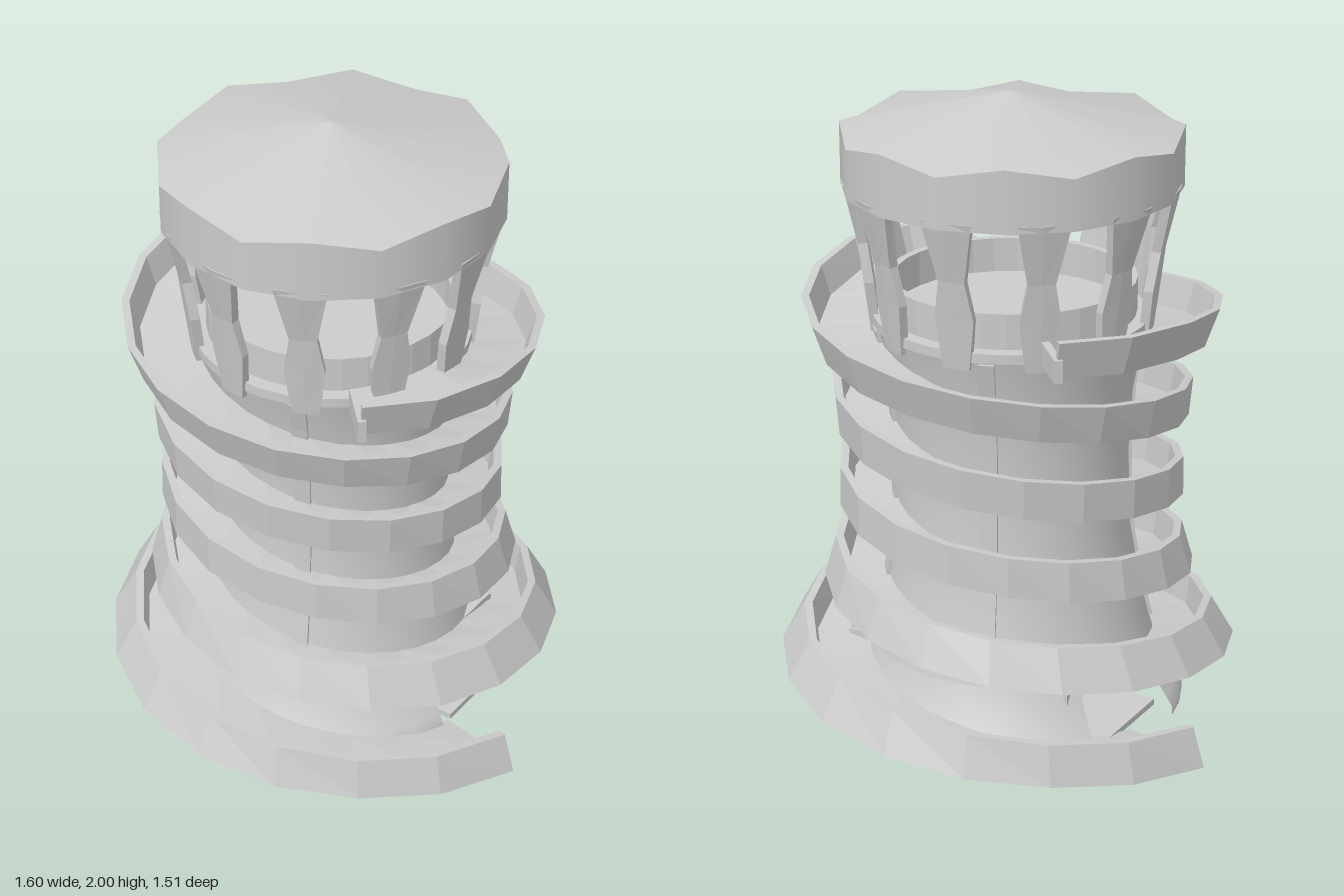
import * as THREE from 'three';

const AXIS = -0.02; // the tower axis sits slightly off centre
const smooth = new THREE.MeshStandardMaterial({ color: 0xcccccc, side: THREE.DoubleSide });
const flat = new THREE.MeshStandardMaterial({ color: 0xcccccc, flatShading: true, side: THREE.DoubleSide });
const rad = THREE.MathUtils.degToRad;

// Profiles as [radius, height]
const TOWER = [[0.55, 0.02], [0.55, 0.05], [0.53, 0.08], [0.48, 0.16], [0.45, 0.24], [0.41, 0.4], [0.375, 0.6],
  [0.365, 0.85], [0.375, 1.05], [0.4, 1.2], [0.43, 1.31]];
const RAMP = [[0.805, 0], [0.765, 0.06], [0.76, 0.13], [0.72, 0.21], [0.66, 0.31], [0.595, 0.43], [0.545, 0.6], [0.54, 0.85],
  [0.56, 1.1], [0.62, 1.28], [0.67, 1.42]];

function radiusAt(profile, y) {
  if (y <= profile[0][1]) return profile[0][0];
  for (let i = 1; i < profile.length; i++) {
    const [r0, y0] = profile[i - 1], [r1, y1] = profile[i];
    if (y <= y1) return r0 + (r1 - r0) * (y - y0) / (y1 - y0);
  }
  return profile[profile.length - 1][0];
}

function add(parent, name, geometry, material) {
  const mesh = new THREE.Mesh(geometry, material);
  mesh.name = name;
  parent.add(mesh);
  return mesh;
}

function lathe(points, sides, startDeg = 0, sweepDeg = 360) {
  return new THREE.LatheGeometry(points.map(([r, y]) => new THREE.Vector2(r, y)), sides, rad(startDeg), rad(sweepDeg));
}

// Spiral gutter: an L-shaped section swept along the flared helix, drawn in at its top end
function rampGeometry(turnOffset) {
  const pos = [], idx = [], n = 6, first = -6, last = 930, steps = 48;
  for (let j = 0; j <= steps; j++) {
    const deg = first + (last - first) * j / steps;
    const y = THREE.MathUtils.clamp(0.01 + 0.258 * deg / 180, 0, 1.29);
    const a = rad(deg + turnOffset), cx = AXIS * Math.min(1, y / 0.8);
    const pull = Math.max(0, deg - 900) * 0.0015;
    const inner = radiusAt(TOWER, y) - 0.035, outer = radiusAt(RAMP, y) - pull, rim = radiusAt(RAMP, y + 0.125) - pull;
    const foot = Math.min(rim - 0.04, outer - 0.01);
    const section = [[inner, y], [outer, y], [rim, y + 0.125], [rim - 0.025, y + 0.125], [foot, y + 0.03], [inner, y + 0.03]];
    for (const [r, h] of section) pos.push(cx + r * Math.cos(a), h, r * Math.sin(a));
  }
  for (let j = 0; j < steps; j++) {
    for (let i = 0; i < n; i++) {
      const a = j * n + i, b = j * n + (i + 1) % n;
      idx.push(a, b, b + n, a, b + n, a + n);
    }
  }
  // End caps
  const e = steps * n;
  for (const [a, b, c] of [[0, 1, 4], [0, 4, 5], [1, 2, 3], [1, 3, 4]]) idx.push(a, c, b, e + a, e + b, e + c);
  const g = new THREE.BufferGeometry();
  g.setAttribute('position', new THREE.Float32BufferAttribute(pos, 3));
  g.setIndex(idx);
  g.computeVertexNormals();
  return g;
}

// Pillar: a box narrowed at mid height and leaned outwards
function pillarGeometry() {
  const g = new THREE.BoxGeometry(1, 1, 0.03, 2, 3, 1), p = g.attributes.position;
  const levels = [[1.26, 0.04, 0.42], [1.42, 0.06, 0.44], [1.54, 0.04, 0.455], [1.73, 0.078, 0.5]];
  for (let i = 0; i < p.count; i++) {
    const [y, half, r] = levels[Math.round((p.getY(i) + 0.5) * 3)];
    const a = p.getX(i) * 2 * half / r, rr = r + p.getZ(i);
    p.setXYZ(i, rr * Math.sin(a), y, rr * Math.cos(a));
  }
  g.computeVertexNormals();
  return g;
}

// Rib: a thin strip that follows the waisted tower
function ribGeometry() {
  const g = new THREE.BoxGeometry(0.05, 1, 0.02, 1, 10, 1), p = g.attributes.position;
  for (let i = 0; i < p.count; i++) {
    const y = 0.26 + (p.getY(i) + 0.5) * 1.02;
    p.setXYZ(i, p.getX(i), y, radiusAt(TOWER, y) + p.getZ(i));
  }
  g.computeVertexNormals();
  return g;
}

// The cap's edge rises and falls from corner to corner
const SIDES = 16;
function edgeHeight(x, z) {
  return Math.round(Math.atan2(x, z) / (2 * Math.PI / SIDES)) % 2 ? 1.865 : 1.9;
}

function roofGeometry() {
  const g = new THREE.CylinderGeometry(0.02, 0.52, 0.12, SIDES, 1, true), p = g.attributes.position;
  for (let i = 0; i < p.count; i++) {
    const x = p.getX(i), z = p.getZ(i);
    if (Math.hypot(x, z) < 0.1) p.setXYZ(i, 0, 2, 0);
    else p.setY(i, edgeHeight(x, z));
  }
  return g;
}

function bandGeometry() {
  const g = new THREE.CylinderGeometry(0.52, 0.52, 0.19, SIDES, 1, true), p = g.attributes.position;
  for (let i = 0; i < p.count; i++) p.setY(i, p.getY(i) > 0 ? edgeHeight(p.getX(i), p.getZ(i)) : 1.71);
  return g;
}

export function createModel() {
  const model = new THREE.Group();
  model.name = 'spiralRampTower';
  const tower = new THREE.Group();
  tower.name = 'tower';
  tower.position.x = AXIS;
  model.add(tower);

  // Waisted shaft, with the foot left open where the tunnel passes through
  add(tower, 'shaft', lathe(TOWER.slice(4), 32), smooth);
  add(tower, 'footFront', lathe(TOWER.slice(0, 5), 16, -65, 157), smooth);
  add(tower, 'footBack', lathe(TOWER.slice(0, 5), 12, 135, 120), smooth);

  // Tunnel through the foot: floor, roof and two sides
  const tunnel = new THREE.Group();
  tunnel.name = 'tunnel';
  tunnel.position.z = -0.1;
  tunnel.rotation.y = rad(-17);
  tunnel.scale.z = -1;
  tunnel.rotation.y = rad(17);
  tunnel.scale.z = 1;
  tower.add(tunnel);
  add(tunnel, 'tunnelFloor', new THREE.BoxGeometry(1, 0.02, 0.38), flat).position.y = 0.04;
  add(tunnel, 'tunnelRoof', new THREE.BoxGeometry(0.8, 0.02, 0.38), flat).position.y = 0.24;
  for (const s of [-1, 1]) {
    add(tunnel, 'tunnelSide', new THREE.BoxGeometry(0.8, 0.2, 0.02), flat).position.set(0, 0.14, s * 0.19);
  }

  const ribs = ribGeometry();
  for (const deg of [38, -36, 150, 217]) add(tower, 'rib', ribs, flat).rotation.y = rad(deg);

  // Lookout floor, raised sill and pillars
  add(tower, 'lookoutFloor', new THREE.CylinderGeometry(0.43, 0.43, 0.03, 32), smooth).position.y = 1.3;
  add(tower, 'lookoutSill', lathe([[0.385, 1.3], [0.385, 1.425], [0.36, 1.425], [0.36, 1.3]], 32), flat);
  const pillar = pillarGeometry();
  for (let i = 0; i < 11; i++) add(tower, 'pillar', pillar, flat).rotation.y = rad(9) + i * 2 * Math.PI / 11;

  // Cap
  add(tower, 'capBand', bandGeometry(), smooth);
  add(tower, 'capBandInside', lathe([[0.52, 1.71], [0.485, 1.71], [0.485, 1.86], [0, 1.93]], SIDES), flat);
  add(tower, 'roof', roofGeometry(), smooth);

  // Two intertwined ramps, each closed off at its top by a low end wall
  for (const offset of [0, 180]) {
    add(model, 'spiralRamp', rampGeometry(offset), flat);
    const a = rad(930 + offset);
    const wall = add(model, 'rampEndWall', new THREE.BoxGeometry(0.17, 0.07, 0.025), flat);
    wall.position.set(AXIS + 0.53 * Math.cos(a), 1.325, 0.53 * Math.sin(a));
    wall.rotation.y = -a;
  }
  return model;
}
